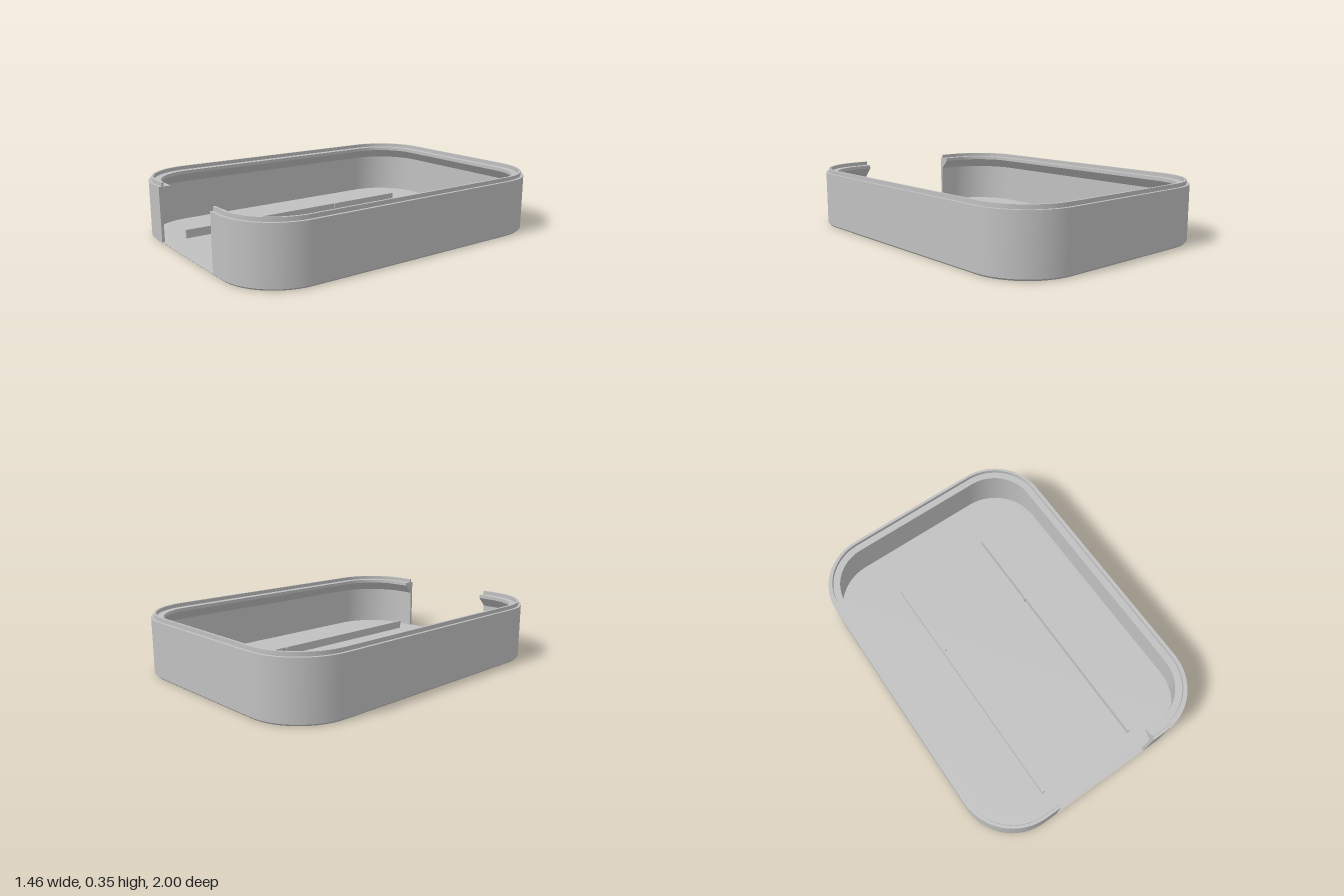
import * as THREE from 'three';
import { mergeGeometries } from 'three/addons/utils/BufferGeometryUtils.js';

const HALF_W = 0.73, HALF_D = 1.0, RADIUS = 0.32, GAP = 0.32, FLOOR = 0.01;

// Rounded rectangle inset by d, running from the front gap round the back to the gap again
function outline(d, gap) {
  const pts = [[gap, HALF_D - d]];
  const cx = HALF_W - RADIUS, cz = HALF_D - RADIUS, r = RADIUS - d, n = 16;
  [[1, 1], [1, -1], [-1, -1], [-1, 1]].forEach(([sx, sz], c) => {
    for (let i = 0; i <= n; i++) {
      const a = Math.PI / 2 * (1 - c - i / n);
      pts.push([sx * cx + r * Math.cos(a), sz * cz + r * Math.sin(a)]);
    }
  });
  pts.push([-gap, HALF_D - d]);
  return pts;
}

// Sweep a profile of [inset, height] points; each band is smooth along, sharp across
function sweep(profile, gap) {
  const bands = [];
  for (let k = 0; k < profile.length - 1; k++) {
    const pos = [], idx = [];
    const [lo, hi] = [profile[k], profile[k + 1]];
    const a = outline(lo[0], gap), b = outline(hi[0], gap);
    a.forEach((p, i) => {
      pos.push(p[0], lo[1], p[1], b[i][0], hi[1], b[i][1]);
      if (i < a.length - 1) idx.push(2 * i, 2 * i + 2, 2 * i + 3, 2 * i, 2 * i + 3, 2 * i + 1);
    });
    const g = new THREE.BufferGeometry();
    g.setAttribute('position', new THREE.Float32BufferAttribute(pos, 3));
    g.setIndex(idx);
    g.computeVertexNormals();
    bands.push(g);
  }
  return mergeGeometries(bands);
}

const toShape = (pts) => new THREE.Shape(pts.map(([x, y]) => new THREE.Vector2(x, y)));

export function createModel() {
  const group = new THREE.Group();
  const grey = new THREE.MeshStandardMaterial({ color: 0xc0c0c0, side: THREE.DoubleSide });
  const add = (name, geometry, x = 0, y = 0, z = 0) => {
    const mesh = new THREE.Mesh(geometry, grey);
    mesh.name = name;
    mesh.position.set(x, y, z);
    group.add(mesh);
  };

  // Floor plate with a chamfered lower edge
  add('floorEdge', sweep([[0.01, 0], [0, FLOOR]], 0));
  add('floorTop', new THREE.ShapeGeometry(toShape(outline(0, 0))).rotateX(-Math.PI / 2), 0, FLOOR);
  add('floorBottom', new THREE.ShapeGeometry(toShape(outline(0.01, 0))).rotateX(Math.PI / 2));

  // Thin wall, raised lip, inner ledge and its sloping underside
  const profile = [[0, FLOOR], [0, 0.328], [0.016, 0.328], [0.016, 0.35], [0.029, 0.35],
    [0.029, 0.328], [0.07, 0.328], [0.07, 0.308], [0.016, 0.25], [0.016, FLOOR]];
  add('wall', sweep(profile, GAP));

  // Cut ends of the wall, and the guide rails with a small rib
  const endShape = toShape(profile.map(([d, y]) => [HALF_D - d, y]));
  for (const [side, s] of [['left', 1], ['right', -1]]) {
    add(side + 'WallEnd', new THREE.ShapeGeometry(endShape).rotateY(-Math.PI / 2), s * GAP);
    add(side + 'Rail', new THREE.BoxGeometry(0.016, 0.05, 1.55), s * 0.314, FLOOR + 0.025, 0.085);
    add(side + 'RailRib', new THREE.BoxGeometry(0.008, 0.05, 0.016), s * 0.304, FLOOR + 0.025, -0.195);
  }
  return group;
}
